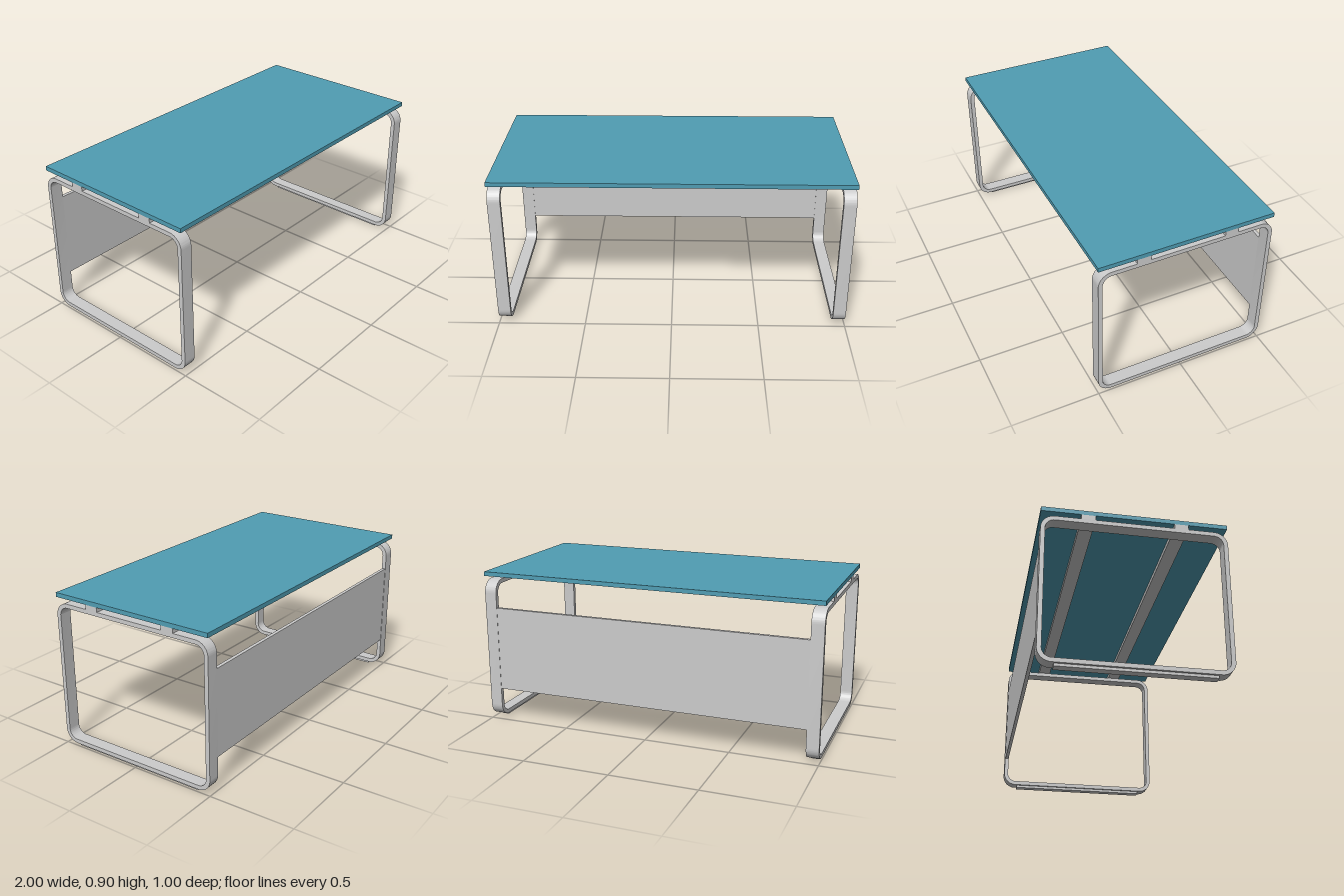
import * as THREE from 'three';
import { toCreasedNormals } from 'three/addons/utils/BufferGeometryUtils.js';

// Rounded rectangle outline, centred on x, from y0 to y1
function roundedRect(path, halfWidth, y0, y1, r) {
  const w = halfWidth;
  path.moveTo(-w + r, y0);
  path.lineTo(w - r, y0);
  path.absarc(w - r, y0 + r, r, -Math.PI / 2, 0);
  path.lineTo(w, y1 - r);
  path.absarc(w - r, y1 - r, r, 0, Math.PI / 2);
  path.lineTo(-w + r, y1);
  path.absarc(-w + r, y1 - r, r, Math.PI / 2, Math.PI);
  path.lineTo(-w, y0 + r);
  path.absarc(-w + r, y0 + r, r, Math.PI, Math.PI * 1.5);
  return path;
}

export function createModel() {
  const desk = new THREE.Group();
  desk.name = 'desk';
  const grey = new THREE.MeshStandardMaterial({ color: 0xcccccc });
  const blue = new THREE.MeshStandardMaterial({ color: 0x509db3 });

  const add = (name, geometry, material, x, y, z) => {
    const mesh = new THREE.Mesh(geometry, material);
    mesh.name = name;
    mesh.position.set(x, y, z);
    desk.add(mesh);
  };
  const box = (name, size, position, material = grey) =>
    add(name, new THREE.BoxGeometry(...size), material, ...position);

  // Table top
  box('tableTop', [2, 0.025, 1], [0, 0.8895, 0], blue);

  // Support rails under the top
  for (const [name, z] of [['frontRail', 0.25], ['backRail', -0.25]]) {
    box(name, [2, 0.026, 0.076], [0, 0.864, z]);
  }

  // Looped leg frame: flat bar bent into a rounded rectangle
  const loop = roundedRect(new THREE.Shape(), 0.5, 0.015, 0.851, 0.075);
  loop.holes.push(roundedRect(new THREE.Path(), 0.476, 0.039, 0.827, 0.051));
  const barWidth = 0.072;
  const frame = toCreasedNormals(
    new THREE.ExtrudeGeometry(loop, { depth: barWidth, bevelEnabled: false, curveSegments: 12 })
      .translate(0, 0, -barWidth / 2)
      .rotateY(Math.PI / 2),
    0.6
  );

  // Leg frames with a floor strip under each
  for (const [side, s] of [['left', 1], ['right', -1]]) {
    const x = s * (1 - barWidth / 2);
    add(side + 'LegFrame', frame, grey, x, 0, 0);
    box(side + 'FootStrip', [0.046, 0.015, 0.826], [x, 0.0075, 0]);
  }

  // Modesty panel between the rear uprights
  box('modestyPanel', [2 - 2 * barWidth, 0.496, 0.02], [0, 0.442, -0.488]);

  return desk;
}
